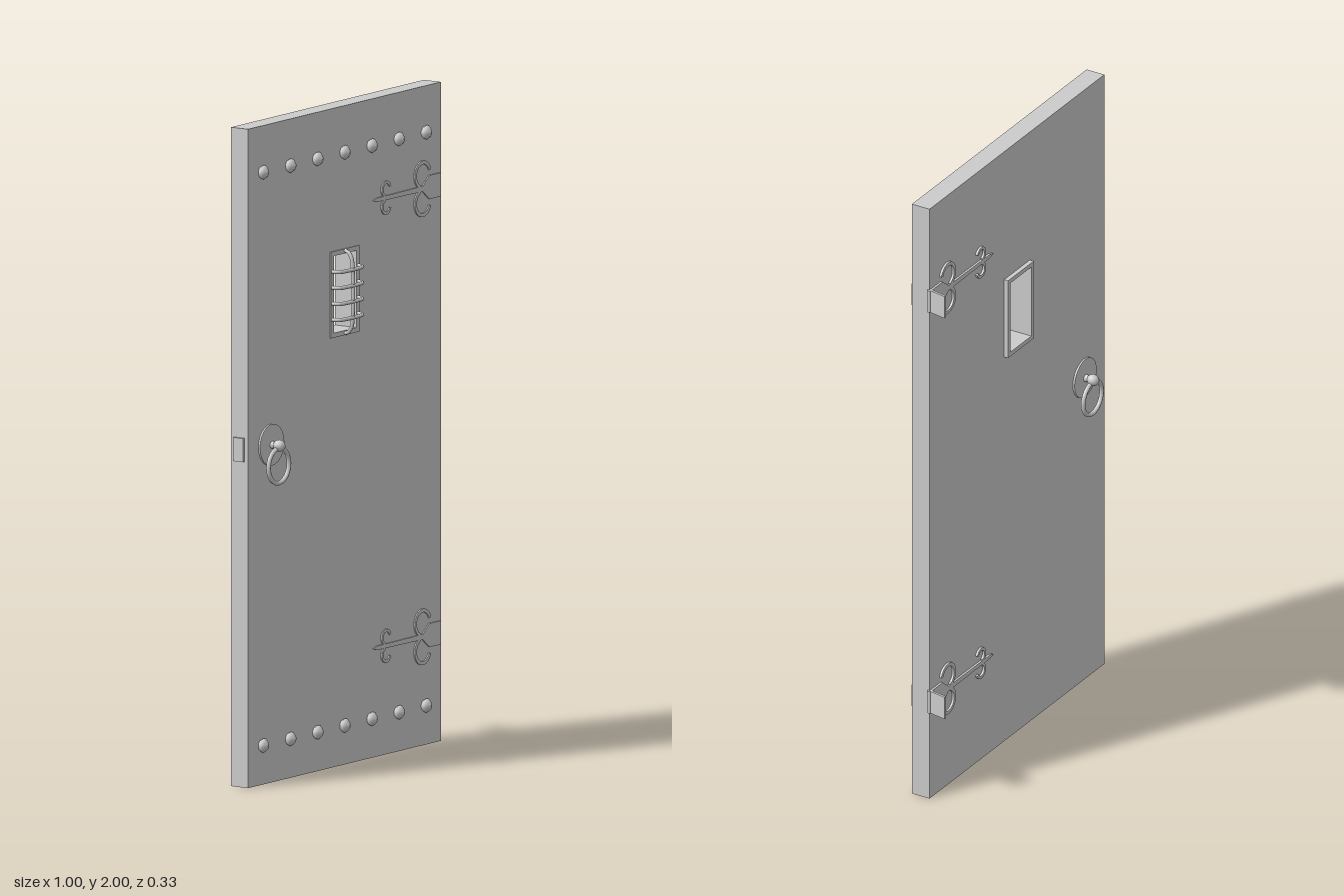
import * as THREE from 'three';

const mat = new THREE.MeshStandardMaterial({ color: 0xcccccc });
const W = 0.998, T = 0.062, F = T / 2;
const ANGLE = THREE.MathUtils.degToRad(10);

function add(parent, name, geo, x = 0, y = 0, z = 0) {
  const m = new THREE.Mesh(geo, mat);
  m.name = name;
  m.position.set(x, y, z);
  parent.add(m);
  return m;
}

function rect(S, w, h, cx = 0, cy = 0) {
  return new S([[-1, -1], [1, -1], [1, 1], [-1, 1]].map(
    ([a, b]) => new THREE.Vector2(cx + a * w / 2, cy + b * h / 2)));
}

const extrude = (shape, depth, curveSegments = 12) =>
  new THREE.ExtrudeGeometry(shape, { depth, bevelEnabled: false, curveSegments });

// Flat curved band between two angles
function band(cx, cy, r, w, a0, a1) {
  const s = new THREE.Shape();
  s.absarc(cx, cy, r + w / 2, a0, a1, false);
  s.absarc(cx, cy, r - w / 2, a1, a0, true);
  s.closePath();
  return s;
}

// Ornamental strap: tapered bar, edge plate and two pairs of curled horns
function strapShapes() {
  const bar = new THREE.Shape([
    [0.145, 0], [0.165, -0.006], [0.40, -0.008], [0.435, -0.036], [0.494, -0.036],
    [0.494, 0.036], [0.435, 0.036], [0.40, 0.008], [0.165, 0.006]
  ].map(([x, y]) => new THREE.Vector2(x, y)));
  const shapes = [bar];
  for (const [cx, cy, r, w] of [[0.402, 0.042, 0.038, 0.011], [0.213, 0.026, 0.021, 0.009]]) {
    shapes.push(band(cx, cy, r, w, 0.1 * Math.PI, 1.4 * Math.PI));
    shapes.push(band(cx, -cy, r, w, 0.6 * Math.PI, 1.9 * Math.PI));
  }
  return shapes;
}

// Ring pull with round plate, stem and knob, facing +z
function ringPull() {
  const g = new THREE.Group();
  const plate = add(g, 'handlePlate', new THREE.CylinderGeometry(0.063, 0.063, 0.008, 24), 0, 0, 0.002);
  plate.rotation.x = Math.PI / 2;
  const stem = add(g, 'handleStem', new THREE.CylinderGeometry(0.009, 0.012, 0.04, 10), 0, 0, 0.02);
  stem.rotation.x = Math.PI / 2;
  const knob = add(g, 'handleKnob', new THREE.SphereGeometry(0.018, 10, 8), 0, 0, 0.032);
  knob.scale.z = 1.1;
  add(g, 'handleRing', new THREE.TorusGeometry(0.053, 0.007, 8, 24), 0, -0.061, 0.03);
  return g;
}

export function createModel() {
  const model = new THREE.Group();
  const door = new THREE.Group();
  door.name = 'door';
  door.rotation.y = ANGLE;
  door.position.z = 0.014;
  model.add(door);

  // Slab with window opening
  const winY = 1.435;
  const slab = rect(THREE.Shape, W, 2, 0, 1);
  slab.holes.push(rect(THREE.Path, 0.13, 0.245, 0, winY));
  add(door, 'slab', extrude(slab, T), 0, 0, -F);

  // Window lining, proud of the back face
  const frame = rect(THREE.Shape, 0.147, 0.262, 0, winY);
  frame.holes.push(rect(THREE.Path, 0.118, 0.234, 0, winY));
  add(door, 'windowFrame', extrude(frame, T + 0.017), 0, 0, -F - 0.014);

  // Bulging grille bars; span runs along x or y
  const bar = (half, vertical) => {
    const pts = [[-1, 0.026], [-1, 0.042], [-0.85, 0.057], [-0.5, 0.062],
      [0.5, 0.062], [0.85, 0.057], [1, 0.042], [1, 0.026]].map(([t, z]) =>
      vertical ? new THREE.Vector3(0, t * half, z) : new THREE.Vector3(t * half, 0, z));
    return new THREE.TubeGeometry(new THREE.CatmullRomCurve3(pts), 28, 0.006, 8);
  };
  for (let i = 0; i < 4; i++) add(door, 'grilleBar', bar(0.066, false), 0, 1.36 + i * 0.0485, 0);
  add(door, 'grilleUpright', bar(0.124, true), 0, winY, 0);

  // Two rows of domed studs
  const studGeo = new THREE.LatheGeometry(
    [[0.016, -0.004], [0.022, 0.009], [0.013, 0.019], [0, 0.024]].map(([r, y]) => new THREE.Vector2(r, y)), 10);
  studGeo.rotateX(Math.PI / 2);
  for (const y of [0.12, 1.86])
    for (let i = -3; i <= 3; i++) add(door, 'stud', studGeo, -0.007 + i * 0.1405, y, F);

  // Ring pulls on both faces
  for (const side of [1, -1]) {
    const pull = ringPull();
    pull.name = side > 0 ? 'frontHandle' : 'backHandle';
    pull.position.set(-0.382, 1.026, side * F);
    if (side < 0) pull.rotation.y = Math.PI;
    door.add(pull);
  }

  // Latch plate on the free edge
  add(door, 'latchPlate', new THREE.BoxGeometry(0.012, 0.072, 0.036), -W / 2 - 0.002, 1.025, 0);

  // Hinges: straps on both faces, pin, and a leaf for the door post
  const shapes = strapShapes();
  for (const y of [0.33, 1.69]) {
    add(door, 'frontStrap', extrude(shapes, 0.006), 0, y, F - 0.002);
    add(door, 'backStrap', extrude(shapes, 0.009), 0, y, -F - 0.007);
    add(model, 'hingePin', new THREE.CylinderGeometry(0.006, 0.006, 0.074, 10), 0.488, y, -0.104);
    add(model, 'hingeLeaf', new THREE.BoxGeometry(0.008, 0.074, 0.06), 0.485, y, -0.135);
  }
  return model;
}
